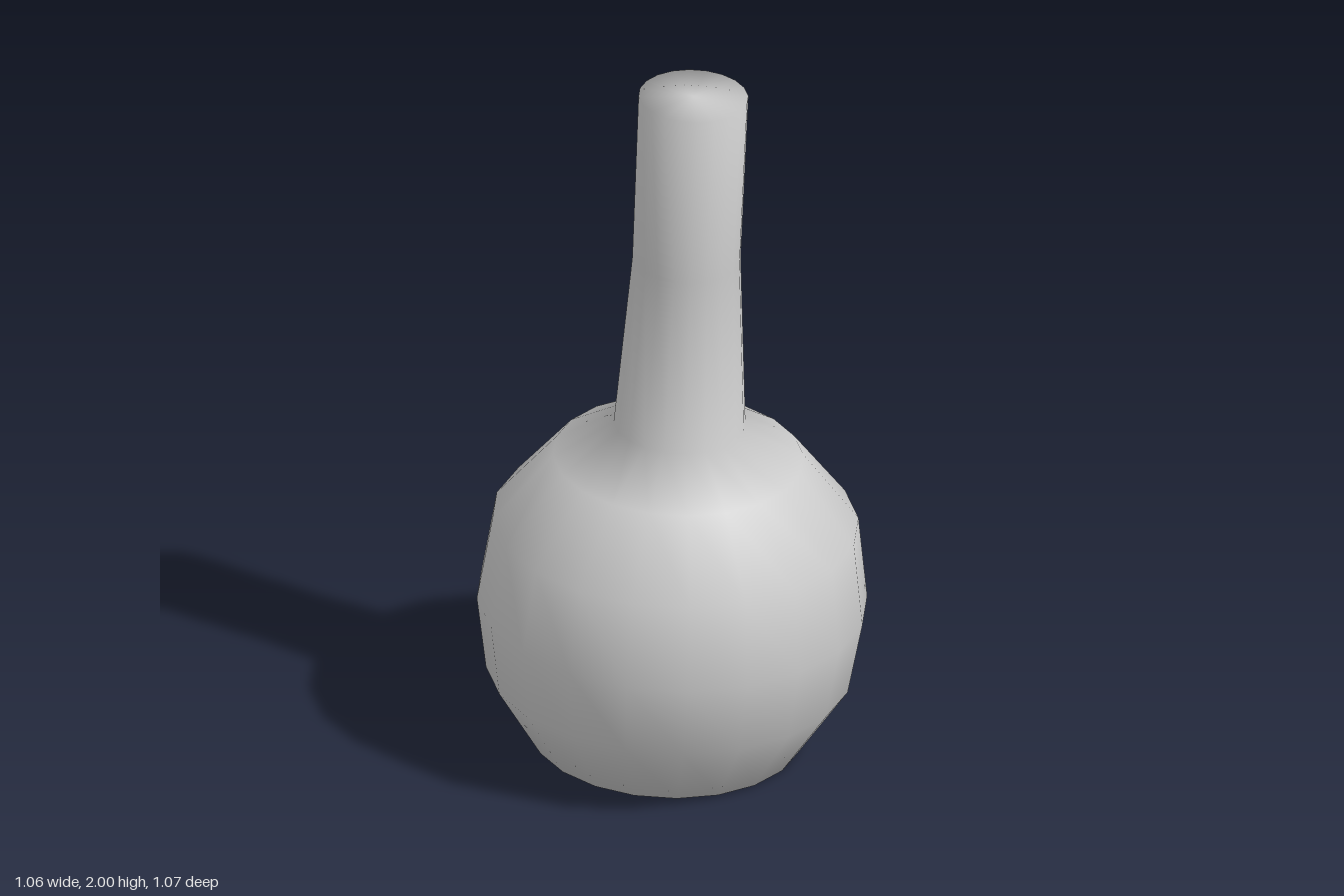
import * as THREE from 'three';

export function createModel() {
  const group = new THREE.Group();
  group.name = 'flask';

  // Turned profile (radius, height): flat base, round bulb, tapering neck, flat top
  const profile = [
    [0, 0], [0.37, 0], [0.5, 0.208], [0.533, 0.422], [0.5, 0.665], [0.342, 0.863],
    [0.18, 0.967], [0.148, 1.48], [0.15, 1.98], [0, 1.98],
  ].map(([r, h]) => new THREE.Vector2(r, h));

  const geometry = new THREE.LatheGeometry(profile, 20);
  geometry.rotateY(THREE.MathUtils.degToRad(1.5));

  const body = new THREE.Mesh(geometry, new THREE.MeshStandardMaterial({ color: 0xcccccc }));
  body.name = 'flaskBody';

  // The flask leans slightly to its left
  body.rotation.z = THREE.MathUtils.degToRad(-2.15);
  body.position.set(-0.018, 0.014, 0);
  group.add(body);

  return group;
}
